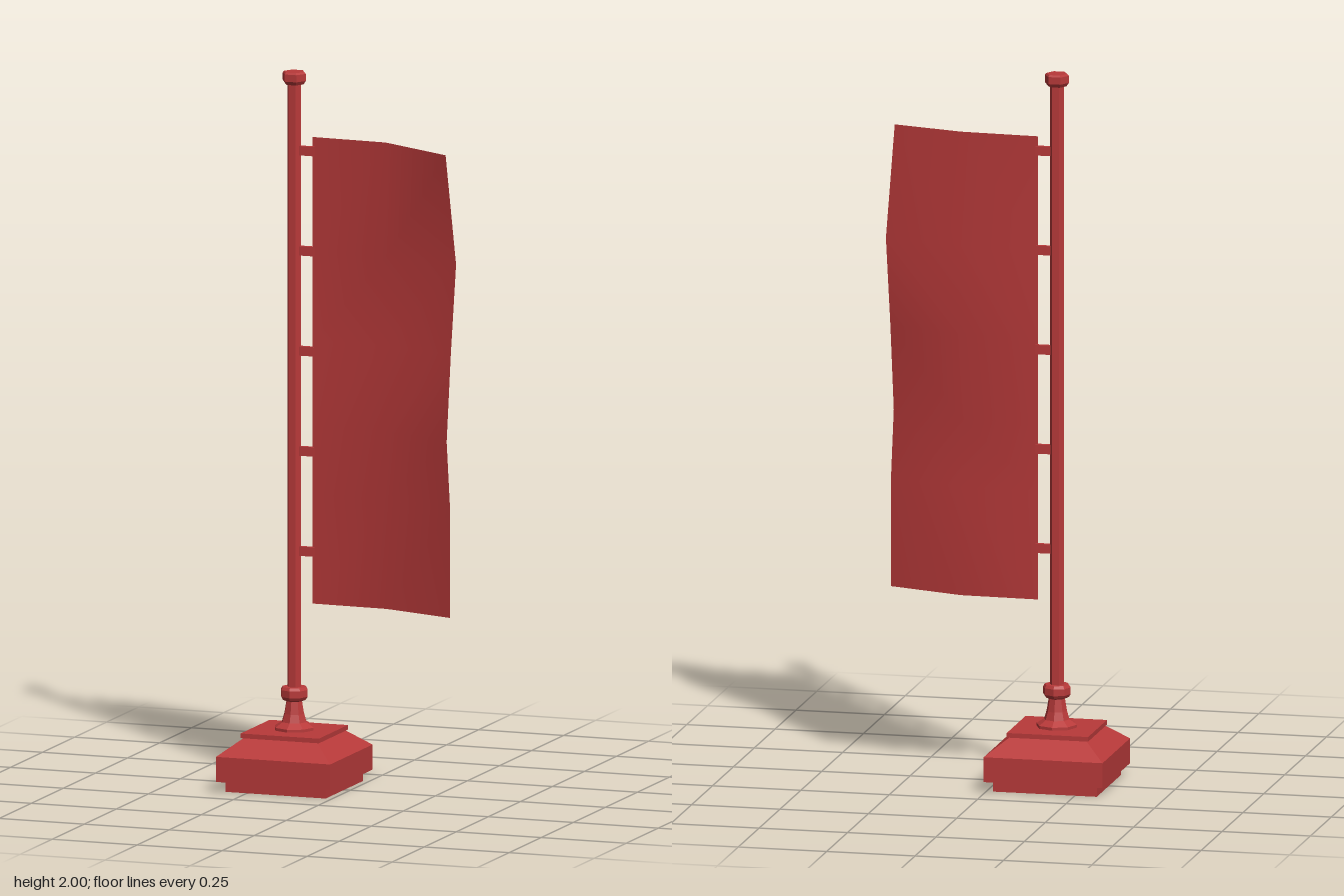
import * as THREE from 'three';

const POLE_X = -0.165;

export function createModel() {
  const group = new THREE.Group();
  group.name = 'bannerPole';
  const color = 0xb93a3a;
  const solid = new THREE.MeshStandardMaterial({ color, flatShading: true });
  const cloth = new THREE.MeshStandardMaterial({ color, side: THREE.DoubleSide });

  function add(name, geometry, material = solid) {
    const mesh = new THREE.Mesh(geometry, material);
    mesh.name = name;
    group.add(mesh);
    return mesh;
  }

  // Faceted turned part around the pole axis; profile is [radius, y] from bottom to top
  function turned(name, profile, sides, start = 0) {
    const points = profile.map(([r, y]) => new THREE.Vector2(r, y));
    const mesh = add(name, new THREE.LatheGeometry(points, sides, start));
    mesh.position.x = POLE_X;
    return mesh;
  }

  // Square stepped plinth: [half width, y]
  const steps = [
    [0, 0], [0.147, 0], [0.147, 0.03], [0.168, 0.03], [0.168, 0.1],
    [0.108, 0.147], [0.115, 0.147], [0.115, 0.16], [0, 0.16],
  ];
  turned('plinth', steps.map(([r, y]) => [r * Math.SQRT2, y]), 4, Math.PI / 4).scale.z = 0.985;

  // Flared octagonal foot with a knob
  turned('poleFoot', [
    [0.057, 0.158], [0.057, 0.168], [0.036, 0.182], [0.029, 0.205], [0.023, 0.24],
    [0.034, 0.245], [0.039, 0.253], [0.039, 0.272], [0.034, 0.28], [0, 0.28],
  ], 8);

  // Six-sided pole and its cap
  turned('pole', [[0.02, 0.25], [0.02, 1.98]], 6, Math.PI / 6);
  turned('poleCap', [
    [0, 1.965], [0.027, 1.965], [0.034, 1.975], [0.034, 1.995], [0.03, 2], [0, 2],
  ], 6, Math.PI / 6);

  // Brackets holding the banner
  for (let i = 0; i < 5; i++) {
    const bracket = add('bracket' + (i + 1), new THREE.BoxGeometry(0.045, 0.026, 0.012));
    bracket.position.set(-0.128, 0.66 + i * 0.28, 0);
  }

  // Banner: each row is [y, middle z, outer x, outer z]
  const rows = [
    [0.515, 0.006, 0.322, 0.075],
    [0.82, 0.006, 0.322, 0.076],
    [1.01, 0.012, 0.318, 0.092],
    [1.25, 0.006, 0.323, 0.073],
    [1.5, 0, 0.331, 0.053],
    [1.82, 0.01, 0.316, 0.095],
  ];
  const positions = [];
  const indices = [];
  rows.forEach(([y, midZ, outX, outZ], i) => {
    const outY = i === rows.length - 1 ? y - 0.008 : y;
    positions.push(-0.111, y, 0, 0.108, y, midZ, outX, outY, outZ);
    if (i === 0) return;
    for (let j = 0; j < 2; j++) {
      const b = i * 3 + j, a = b - 3;
      indices.push(a, a + 1, b + 1, a, b + 1, b);
    }
  });
  const banner = new THREE.BufferGeometry();
  banner.setAttribute('position', new THREE.Float32BufferAttribute(positions, 3));
  banner.setIndex(indices);
  banner.computeVertexNormals();
  add('banner', banner, cloth);

  return group;
}
